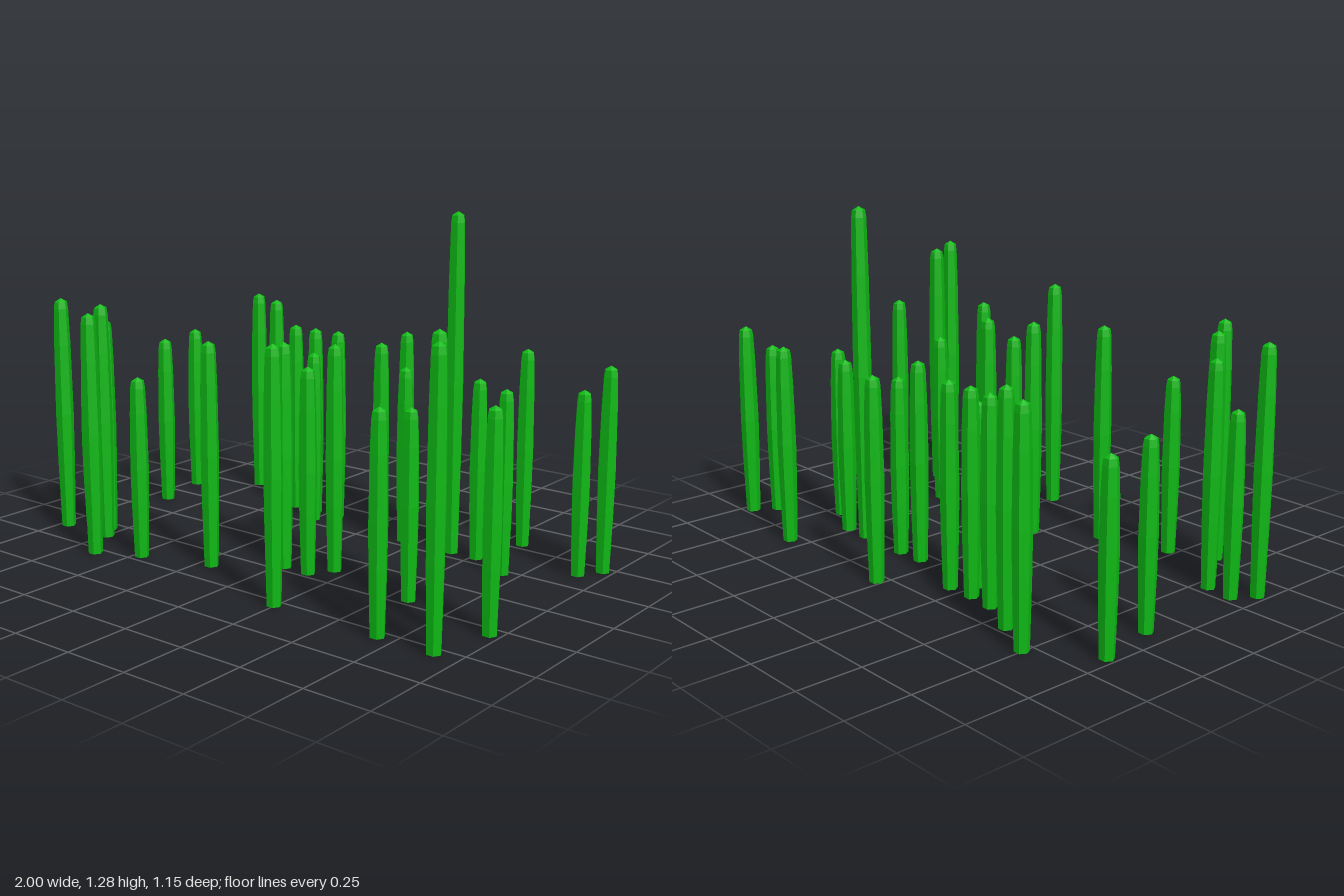
import * as THREE from 'three';

// x, z, height of every stalk
const STALKS = [
  // back half
  [-0.965, -0.38, 0.685], [-0.745, -0.545, 0.84], [-0.58, -0.465, 0.84],
  [-0.415, -0.39, 0.765], [-0.305, -0.38, 0.765], [-0.25, -0.30, 0.685],
  [-0.195, -0.385, 0.765], [-0.91, -0.14, 0.685], [0.025, -0.545, 0.765],
  [0.08, -0.30, 0.765], [0.19, -0.305, 0.685], [0.41, -0.305, 1.285],
  [0.52, -0.305, 0.685], [0.575, -0.545, 0.765], [0.685, -0.22, 0.685],
  [0.905, -0.38, 0.685], [0.96, -0.465, 0.765],
  // front half
  [-0.965, 0.37, 0.915], [-0.91, 0.29, 0.685], [-0.80, 0.30, 0.84],
  [-0.745, 0.37, 0.915], [-0.635, 0.535, 0.915], [-0.47, 0.455, 0.685],
  [-0.195, 0.37, 0.84], [0.025, 0.215, 0.84], [0.135, 0.215, 0.765],
  [0.19, 0.13, 0.84], [0.245, 0.535, 0.91], [0.575, 0.21, 0.685],
  [0.685, 0.54, 0.765], [0.795, 0.375, 1.0], [0.905, 0.54, 1.0],
  [0.96, 0.30, 0.765],
];

// Six-sided stalk, swelling gently in the middle, with a low pointed tip
function stalkGeometry(height) {
  const profile = [
    [0, 0],
    [0.027, 0],
    [0.033, height * 0.3],
    [0.035, height * 0.5],
    [0.032, height * 0.8],
    [0.028, height - 0.04],
    [0.024, height - 0.014],
    [0, height],
  ].map(([r, y]) => new THREE.Vector2(r, y));
  return new THREE.LatheGeometry(profile, 6, Math.PI / 2);
}

export function createModel() {
  const grass = new THREE.Group();
  grass.name = 'grassStalks';
  const green = new THREE.MeshStandardMaterial({ color: 0x0db814, flatShading: true });

  for (const [x, z, height] of STALKS) {
    const stalk = new THREE.Mesh(stalkGeometry(height), green);
    stalk.name = 'stalk';
    stalk.position.set(x, 0, z);
    grass.add(stalk);
  }
  return grass;
}
